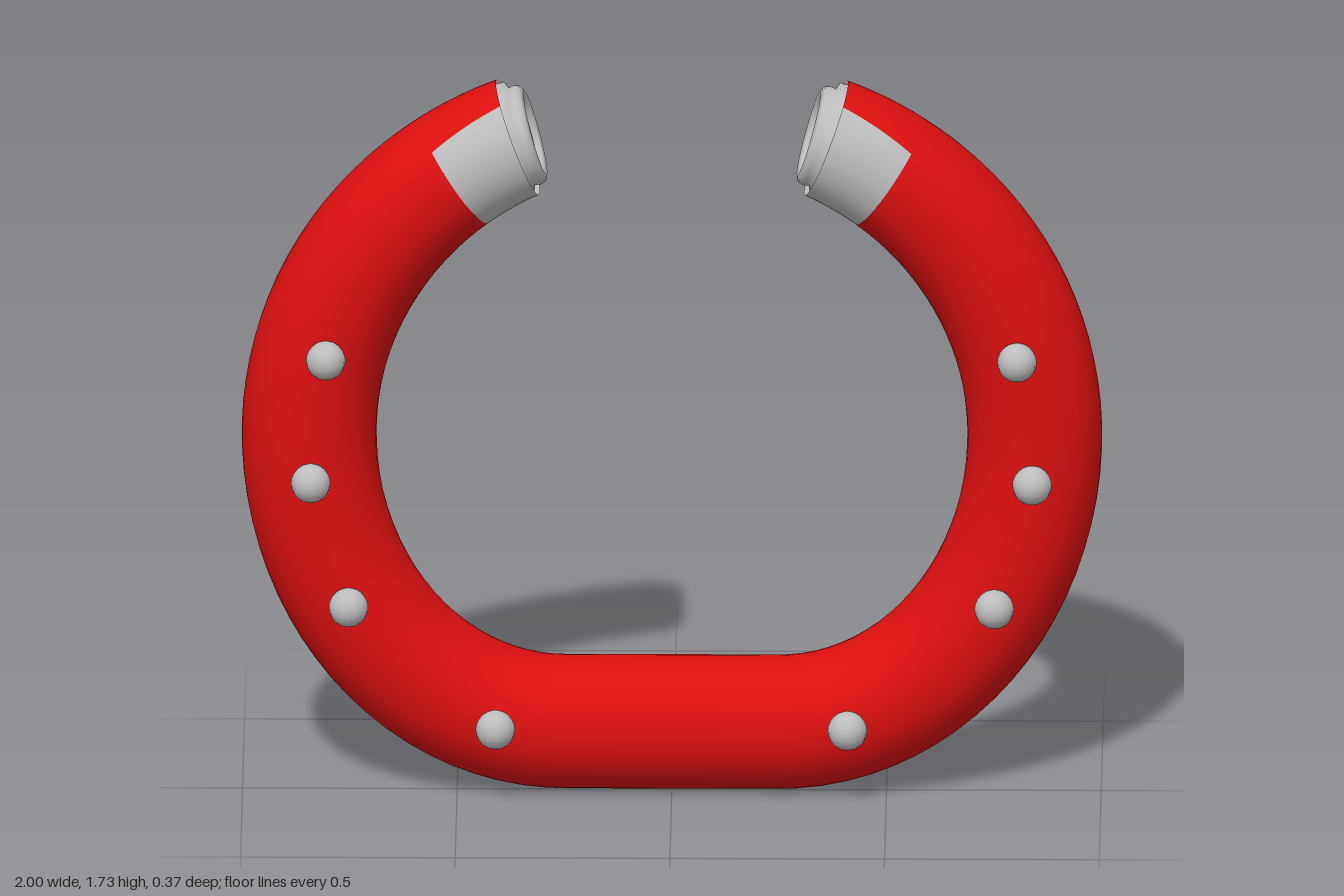
import * as THREE from 'three';

const DEG = Math.PI / 180;
const Z0 = -0.03;          // depth of the ring's mid plane
const CAP_START = 2.82;    // path position where the grey ends begin

// Centreline of one half: u 0-1 straight base, 1-2 lower bend, 2-3 upper arc
function halfPath(u) {
  if (u <= 1) return { x: 0.25 * u, y: 0.16, nx: 0, ny: -1 };
  if (u <= 2) {
    const a = (u - 2) * Math.PI / 2, c = Math.cos(a), s = Math.sin(a);
    const nx = c / 0.595, ny = s / 0.71, l = Math.hypot(nx, ny);
    return { x: 0.25 + 0.595 * c, y: 0.87 + 0.71 * s, nx: nx / l, ny: ny / l };
  }
  const a = (u - 2) * 69 * DEG, c = Math.cos(a), s = Math.sin(a);
  const r = 0.765 + 0.013 * (u - 2) ** 2;
  return { x: 0.08 + r * c, y: 0.87 + r * s, nx: c, ny: s };
}

// Sweeps part of the round section along the path from u0 to u1;
// arc(u) gives the start and end angle, 0 being the outer rim.
function sweep(u0, u1, nu, nv, arc) {
  const pos = [], nor = [], idx = [];
  for (let i = 0; i <= nu; i++) {
    const u = u0 + (u1 - u0) * i / nu, side = u < 0 ? -1 : 1, k = Math.abs(u);
    const p = halfPath(k), [a0, a1] = arc(k);
    const r = 0.157 - 0.014 * Math.max(0, k - 2) ** 2;
    const rz = 0.151 - 0.009 * Math.max(0, k - 2) ** 2;
    for (let j = 0; j <= nv; j++) {
      const a = a0 + (a1 - a0) * j / nv, c = Math.cos(a), s = Math.sin(a);
      pos.push(side * (p.x + p.nx * c * r), p.y + p.ny * c * r, Z0 + s * rz);
      nor.push(side * p.nx * c, p.ny * c, s);
    }
  }
  const w = nv + 1;
  for (let i = 0; i < nu; i++) {
    for (let j = 0; j < nv; j++) {
      const a = i * w + j, b = a + w;
      idx.push(a, b, a + 1, b, b + 1, a + 1);
    }
  }
  const g = new THREE.BufferGeometry();
  g.setAttribute('position', new THREE.Float32BufferAttribute(pos, 3));
  g.setAttribute('normal', new THREE.Float32BufferAttribute(nor, 3));
  g.setIndex(idx);
  return g;
}

export function createModel() {
  const root = new THREE.Group();
  root.name = 'collar';
  const red = new THREE.MeshStandardMaterial({ color: 0xdb0f0f });
  red.name = 'red';
  const grey = new THREE.MeshStandardMaterial({ color: 0xbdbdbd });
  grey.name = 'lightGrey';

  const add = (name, geometry, material, parent = root) => {
    const m = new THREE.Mesh(geometry, material);
    m.name = name;
    parent.add(m);
    return m;
  };

  // Main tube
  add('tube', sweep(-CAP_START, CAP_START, 120, 40, () => [0, 2 * Math.PI]), red);

  // Half width of the red strip on the outer rim, narrowing to the tip
  const strip = (k) => (50 - 12 * (k - CAP_START) / (3 - CAP_START)) * DEG;

  // Stepped end fitting: face, rounded lip, recess and central plug
  const fitting = [
    [0.134, -0.025], [0.134, 0.0], [0.118, 0.006], [0.12, 0.022], [0.115, 0.034],
    [0.102, 0.04], [0.088, 0.034], [0.08, 0.006], [0.072, 0.006], [0.07, 0.02],
    [0.054, 0.026], [0.05, 0.012], [0, 0.012],
  ].map(([r, h]) => new THREE.Vector2(r, h));
  const fittingGeo = new THREE.LatheGeometry(fitting, 32);

  for (const [side, name] of [[1, 'left'], [-1, 'right']]) {
    const end = new THREE.Group();
    end.name = name + 'End';
    root.add(end);
    const [u0, u1] = side > 0 ? [CAP_START, 3] : [-3, -CAP_START];
    add(name + 'Cap', sweep(u0, u1, 8, 32, (k) => [strip(k), 2 * Math.PI - strip(k)]), grey, end);
    add(name + 'Strip', sweep(u0, u1, 8, 16, (k) => [-strip(k), strip(k)]), red, end);

    const tip = halfPath(3);
    const f = add(name + 'Fitting', fittingGeo, grey, end);
    f.position.set(side * (tip.x - 0.002), tip.y, Z0);
    f.rotation.z = side * 74 * DEG;
    f.material.side = THREE.DoubleSide;

    // Studs on the front face
    [[0.41, 0.195], [0.752, 0.495], [0.84, 0.8], [0.805, 1.102]].forEach(([x, y], i) => {
      const s = add(name + 'Stud' + (i + 1), new THREE.SphereGeometry(0.046, 16, 12), grey);
      s.position.set(side * x, y, 0.138);
    });
  }
  return root;
}
